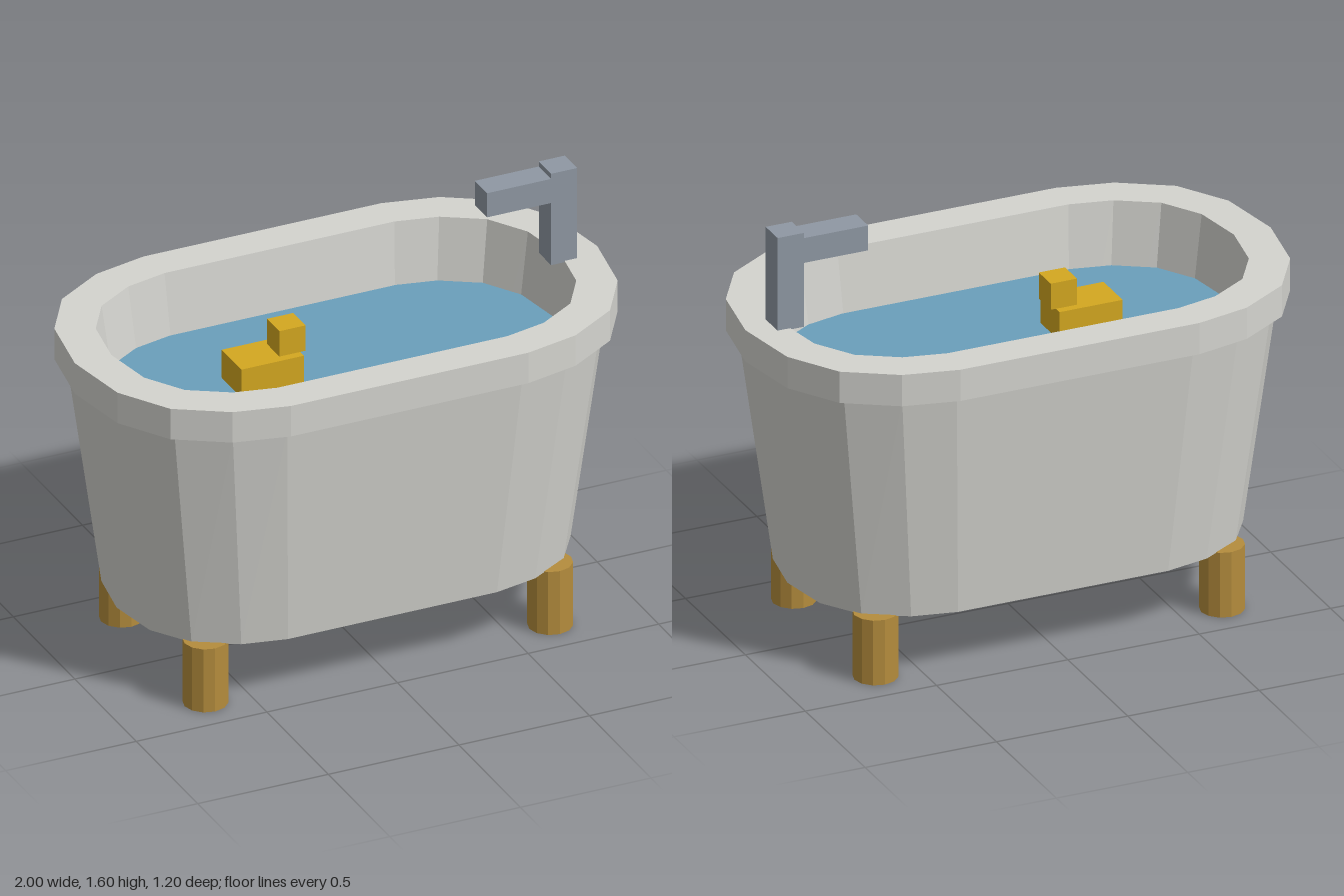
import * as THREE from 'three';

// Quarter of the rounded end, as fractions of the corner: [along x, along z]
const CORNER = [[1, 0], [0.922, 0.428], [0.71, 0.735], [0.37, 0.925], [0, 1]];

// Closed oval outline with straight long sides, running from +x towards +z
function outline([hx, hz, flat, y]) {
  const q = CORNER.map(([u, v]) => [flat + u * (hx - flat), v * hz]);
  const back = [...q].reverse();
  return [
    ...q,
    ...back.map(([x, z]) => [-x, z]),
    ...q.slice(1).map(([x, z]) => [-x, -z]),
    ...back.slice(0, -1).map(([x, z]) => [x, -z]),
  ].map(([x, z]) => [x, y, z]);
}

// Skin over a list of outlines: [half length, half width, half straight side, height]
function loft(sections) {
  const rings = sections.map(outline);
  const pos = [];
  for (let i = 0; i < rings.length - 1; i++) {
    const n = rings[i].length;
    for (let j = 0; j < n; j++) {
      const k = (j + 1) % n;
      const a = rings[i][j], b = rings[i + 1][j], c = rings[i][k], d = rings[i + 1][k];
      pos.push(...a, ...b, ...c, ...b, ...d, ...c);
    }
  }
  const geo = new THREE.BufferGeometry();
  geo.setAttribute('position', new THREE.Float32BufferAttribute(pos, 3));
  geo.computeVertexNormals();
  return geo;
}

export function createModel() {
  const model = new THREE.Group();
  model.name = 'bathtub';

  const material = (color) => new THREE.MeshStandardMaterial({ color, flatShading: true });
  const enamel = material(0xd4d4cf);
  const brass = material(0xb58d3d);
  const steel = material(0x8f98a3);
  const yellow = material(0xd4a820);
  const blue = material(0x6a9fbb);

  const add = (parent, name, geo, mat, x = 0, y = 0, z = 0) => {
    const mesh = new THREE.Mesh(geo, mat);
    mesh.name = name;
    mesh.position.set(x, y, z);
    parent.add(mesh);
    return mesh;
  };
  // Box given by its extent in x and y, centred on z = 0
  const block = (parent, name, mat, x0, x1, y0, y1, depth) =>
    add(parent, name, new THREE.BoxGeometry(x1 - x0, y1 - y0, depth), mat, (x0 + x1) / 2, (y0 + y1) / 2);

  // Tub: underside, tapered wall, overhanging rim, inner wall and floor
  add(model, 'tub', loft([
    [0, 0, 0, 0.245],
    [0.84, 0.46, 0.4, 0.245],
    [0.96, 0.56, 0.45, 1.125],
    [1, 0.6, 0.455, 1.125],
    [1, 0.6, 0.455, 1.245],
    [0.86, 0.46, 0.44, 1.245],
    [0.735, 0.36, 0.4, 0.35],
    [0, 0, 0, 0.35],
  ]), enamel);

  // Water surface
  add(model, 'water', loft([[0.828, 0.433, 0.435, 1.01], [0, 0, 0, 1.01]]), blue);

  // Four round feet
  const footGeo = new THREE.CylinderGeometry(0.08, 0.08, 0.248, 12);
  for (const sx of [-1, 1]) {
    for (const sz of [-1, 1]) {
      const name = (sz > 0 ? 'front' : 'back') + (sx > 0 ? 'Left' : 'Right') + 'Foot';
      add(model, name, footGeo, brass, sx * 0.66, 0.124, sz * 0.34);
    }
  }

  // Faucet standing on the rim
  const faucet = new THREE.Group();
  faucet.name = 'faucet';
  block(faucet, 'post', steel, 0.8, 0.9, 1.24, 1.6, 0.1);
  block(faucet, 'spout', steel, 0.555, 0.8, 1.485, 1.58, 0.1);
  model.add(faucet);

  // Floating toy duck
  const duck = new THREE.Group();
  duck.name = 'toyDuck';
  block(duck, 'duckBody', yellow, -0.4, -0.16, 0.98, 1.12, 0.16);
  block(duck, 'duckHead', yellow, -0.24, -0.14, 1.12, 1.22, 0.1);
  model.add(duck);

  return model;
}
